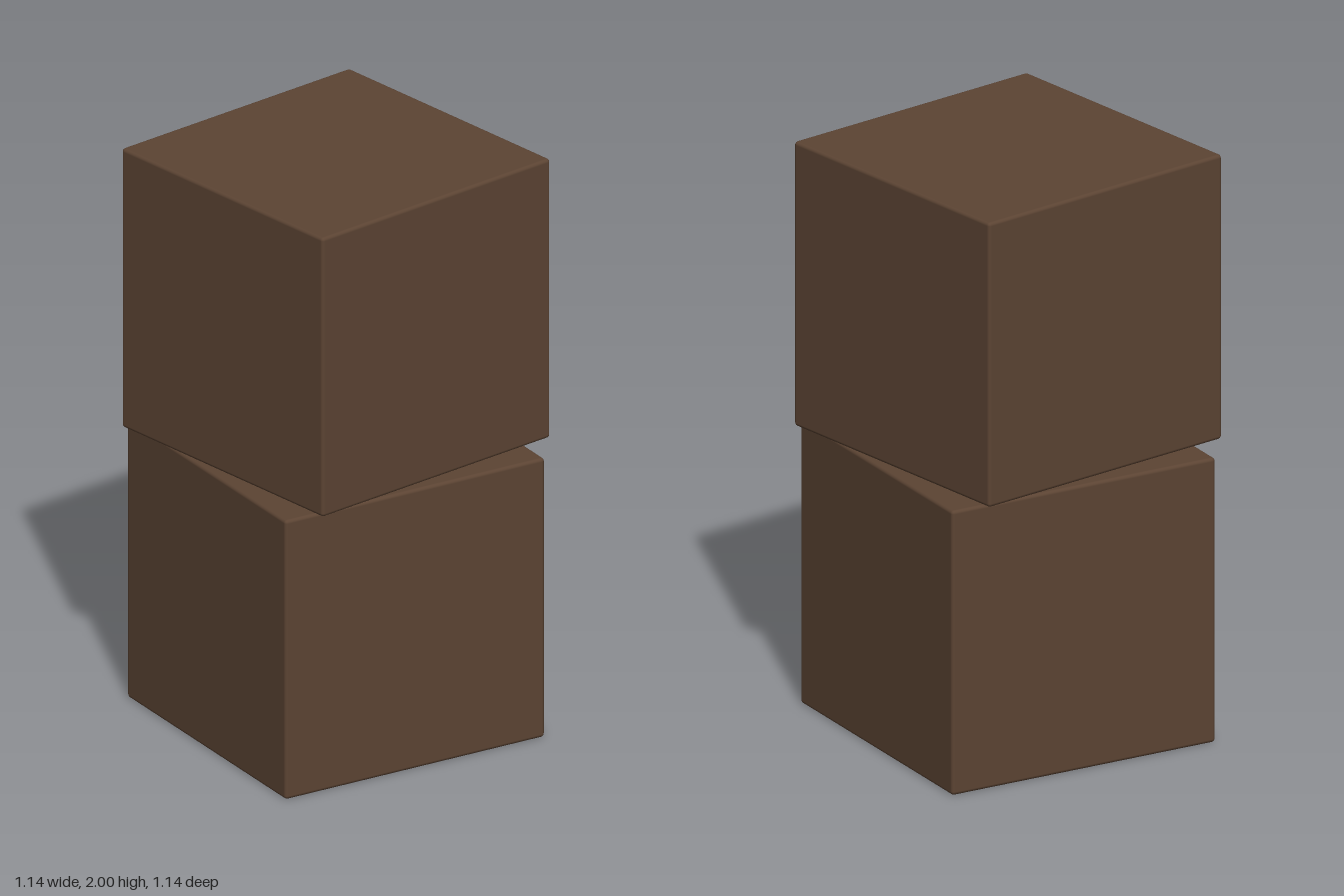
import * as THREE from 'three';
import { RoundedBoxGeometry } from 'three/addons/geometries/RoundedBoxGeometry.js';

const SIZE = 0.99;
const BEVEL = 0.012;

export function createModel() {
  const group = new THREE.Group();
  group.name = 'stackedCrates';

  const brown = new THREE.MeshStandardMaterial({ color: 0x5c4433 });
  brown.name = 'dark brown';

  // Both crates share one softly bevelled cube
  const cube = new RoundedBoxGeometry(SIZE, SIZE, SIZE, 2, BEVEL);

  const addCrate = (name, bottom, turn) => {
    const crate = new THREE.Mesh(cube, brown);
    crate.name = name;
    crate.position.y = bottom + SIZE / 2;
    crate.rotation.y = THREE.MathUtils.degToRad(turn);
    group.add(crate);
  };

  // The upper crate sits slightly twisted above a thin gap
  addCrate('lowerCrate', 0, 0);
  addCrate('upperCrate', 2 - SIZE, 10);

  return group;
}
